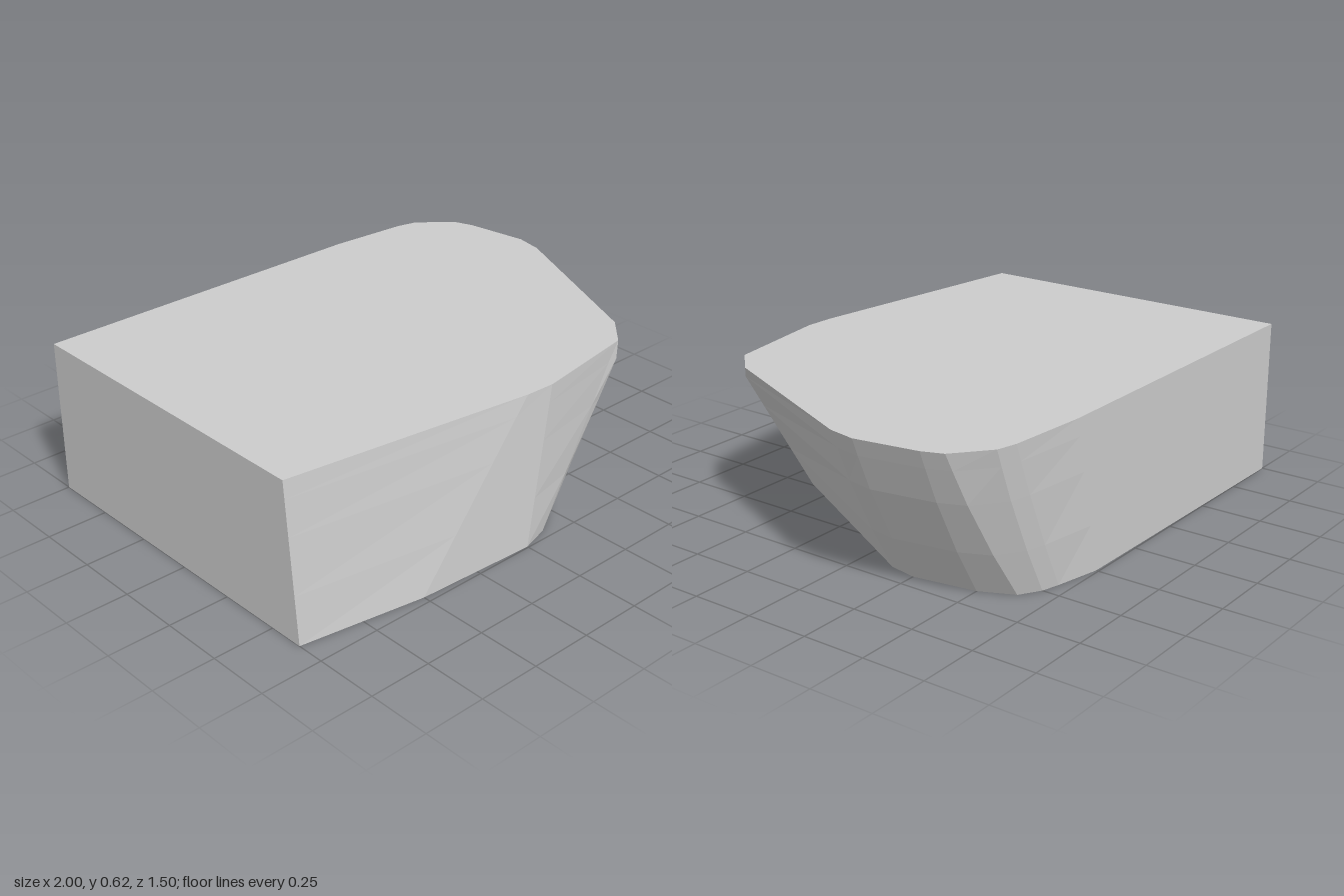
import * as THREE from 'three';

const HEIGHT = 0.62;
const SHOULDER = 0.55;

// Outline columns: [bottom x, z, top x, z, outward bulge, optional shoulder x, z]
const columns = [
  [-1, -0.75, -1, -0.75, 0],
  [0.25, -0.74, 0.4, -0.745, 0],
  [0.43, -0.7, 0.72, -0.72, 0.01],
  [0.5, -0.68, 0.8, -0.7, 0.015],
  [0.58, -0.63, 0.93, -0.59, 0.02],
  [0.64, -0.5, 0.96, -0.51, 0.02],
  [0.68, -0.25, 1, -0.26, 0.022],
  [0.66, -0.14, 0.98, -0.15, 0.02],
  [0.24, 0.62, 0.67, 0.54, 0, 0.59, 0.62],
  [0.2, 0.66, 0.56, 0.65, 0, 0.55, 0.655],
  [0.12, 0.71, 0.55, 0.652, 0],
  [0, 0.745, 0.12, 0.72, 0],
  [-0.5, 0.72, 0, 0.715, 0],
  [-1, 0.64, -1, 0.58, 0],
];

// Point on a column at height y
function pointAt([bx, bz, tx, tz, bulge, sx, sz], y) {
  const t = y / HEIGHT;
  const lerp = THREE.MathUtils.lerp;
  if (sx !== undefined) {
    if (y <= SHOULDER) return [lerp(bx, sx, y / SHOULDER), y, lerp(bz, sz, y / SHOULDER)];
    const k = (y - SHOULDER) / (HEIGHT - SHOULDER);
    return [lerp(sx, tx, k), y, lerp(sz, tz, k)];
  }
  return [lerp(bx, tx, t) + bulge * Math.sin(Math.PI * t), y, lerp(bz, tz, t)];
}

export function createModel() {
  const group = new THREE.Group();
  group.name = 'slopedBlock';

  const rings = [0, 0.19, 0.41, SHOULDER, HEIGHT].map((y) => columns.map((c) => pointAt(c, y)));
  const n = columns.length;
  const positions = [];
  const tri = (a, b, c) => positions.push(...a, ...b, ...c);

  // Sloping side walls
  for (let r = 0; r < rings.length - 1; r++) {
    for (let i = 0; i < n; i++) {
      const j = (i + 1) % n;
      const [low, high] = [rings[r], rings[r + 1]];
      tri(low[j], low[i], high[i]);
      tri(low[j], high[i], high[j]);
    }
  }

  // Flat bottom and top
  const bottom = rings[0];
  const top = rings[rings.length - 1];
  for (let i = 1; i < n - 1; i++) {
    tri(bottom[0], bottom[i], bottom[i + 1]);
    tri(top[0], top[i + 1], top[i]);
  }

  const geometry = new THREE.BufferGeometry();
  geometry.setAttribute('position', new THREE.Float32BufferAttribute(positions, 3));
  geometry.computeVertexNormals();

  const body = new THREE.Mesh(
    geometry,
    new THREE.MeshStandardMaterial({ color: 0xcccccc, flatShading: true })
  );
  body.name = 'body';
  group.add(body);
  return group;
}
